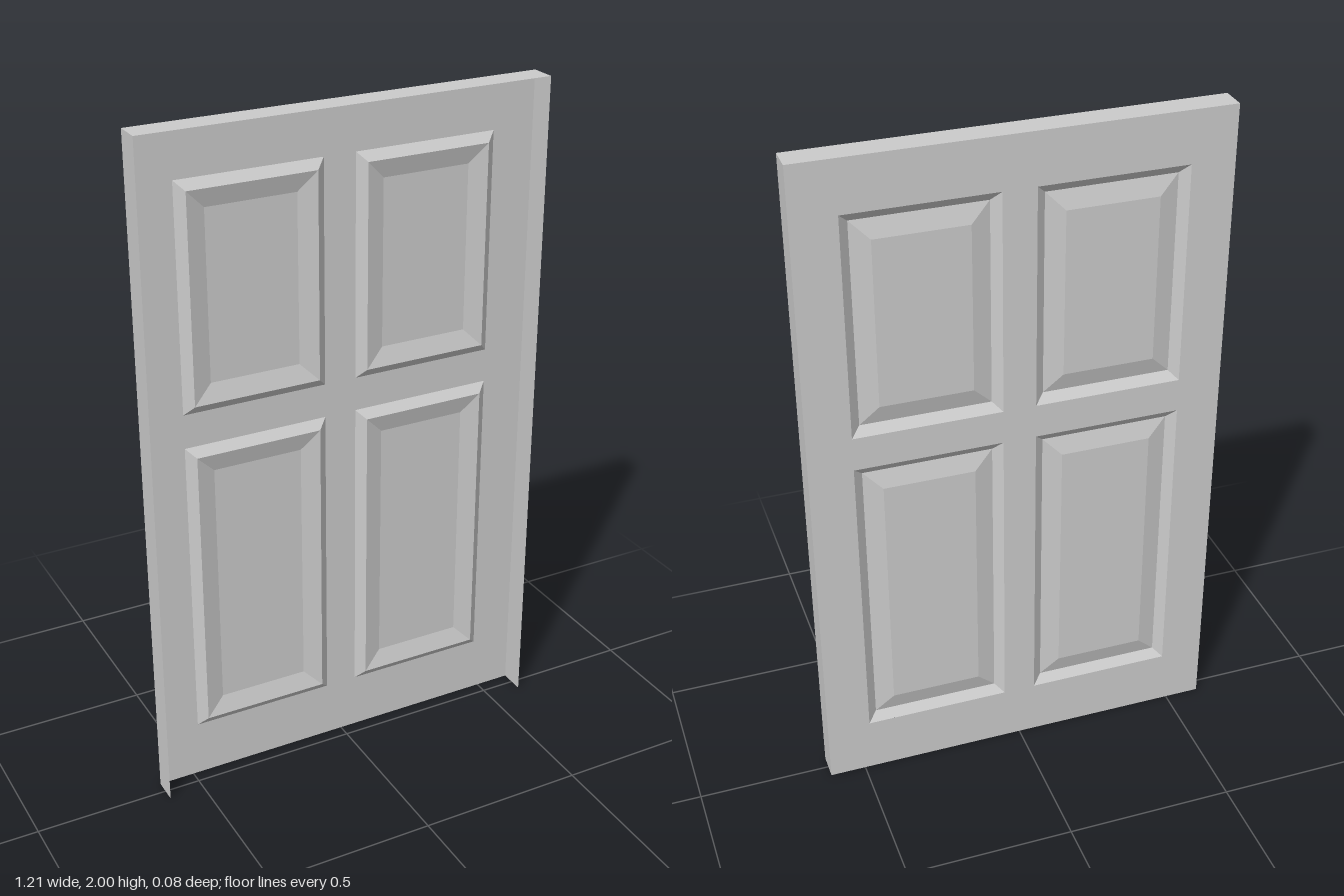
import * as THREE from 'three';

const W = 0.607, H = 2, D = 0.039; // half width, height, half depth
const material = new THREE.MeshStandardMaterial({ color: 0xcccccc, flatShading: true, side: THREE.DoubleSide });

function add(group, name, geometry) {
  const mesh = new THREE.Mesh(geometry, material);
  mesh.name = name;
  group.add(mesh);
  return mesh;
}

// Nested rectangles [inset, z]: groove slope, raised bevel, then the flat field
function panelGeometry(x0, x1, y0, y1) {
  const rings = [[0, -D], [0.027, -D + 0.021], [0.082, -D + 0.006]];
  const pos = [], index = [];
  for (const [i, z] of rings) {
    pos.push(x0 + i, y0 + i, z, x1 - i, y0 + i, z, x1 - i, y1 - i, z, x0 + i, y1 - i, z);
  }
  // Wound so the front sides face the back of the door
  for (let r = 0; r < rings.length - 1; r++) {
    for (let k = 0; k < 4; k++) {
      const a = r * 4 + k, b = r * 4 + (k + 1) % 4;
      index.push(a, a + 4, b, b, a + 4, b + 4);
    }
  }
  const c = (rings.length - 1) * 4;
  index.push(c, c + 2, c + 1, c, c + 3, c + 2);
  const g = new THREE.BufferGeometry();
  g.setAttribute('position', new THREE.Float32BufferAttribute(pos, 3));
  g.setIndex(index);
  const flat = g.toNonIndexed();
  flat.computeVertexNormals();
  return flat;
}

export function createModel() {
  const door = new THREE.Group();
  door.name = 'panelDoor';

  // Face sheet with four openings
  const face = new THREE.Shape([[-W, 0], [W, 0], [W, H], [-W, H]].map(p => new THREE.Vector2(...p)));
  const rows = [['lower', 0.172, 1.087], ['upper', 1.188, 1.847]];
  const columns = [['Right', -0.479, -0.048], ['Left', 0.048, 0.479]];
  for (const [row, y0, y1] of rows) {
    for (const [side, x0, x1] of columns) {
      face.holes.push(new THREE.Path([[x0, y0], [x0, y1], [x1, y1], [x1, y0]].map(p => new THREE.Vector2(...p))));
      add(door, `${row}${side}Panel`, panelGeometry(x0, x1, y0, y1));
    }
  }
  // Mirrored in x so the sheet faces backwards
  const sheet = add(door, 'faceSheet', new THREE.ShapeGeometry(face));
  sheet.rotation.y = Math.PI;
  sheet.position.z = -D;

  // Side and top flanges; the front and bottom stay open
  for (const s of [-1, 1]) {
    const flange = add(door, s > 0 ? 'leftFlange' : 'rightFlange', new THREE.PlaneGeometry(2 * D, H));
    flange.rotation.y = s * Math.PI / 2;
    flange.position.set(s * W, H / 2, 0);
  }
  const top = add(door, 'topFlange', new THREE.PlaneGeometry(2 * W, 2 * D));
  top.rotation.x = -Math.PI / 2;
  top.position.y = H;

  return door;
}
